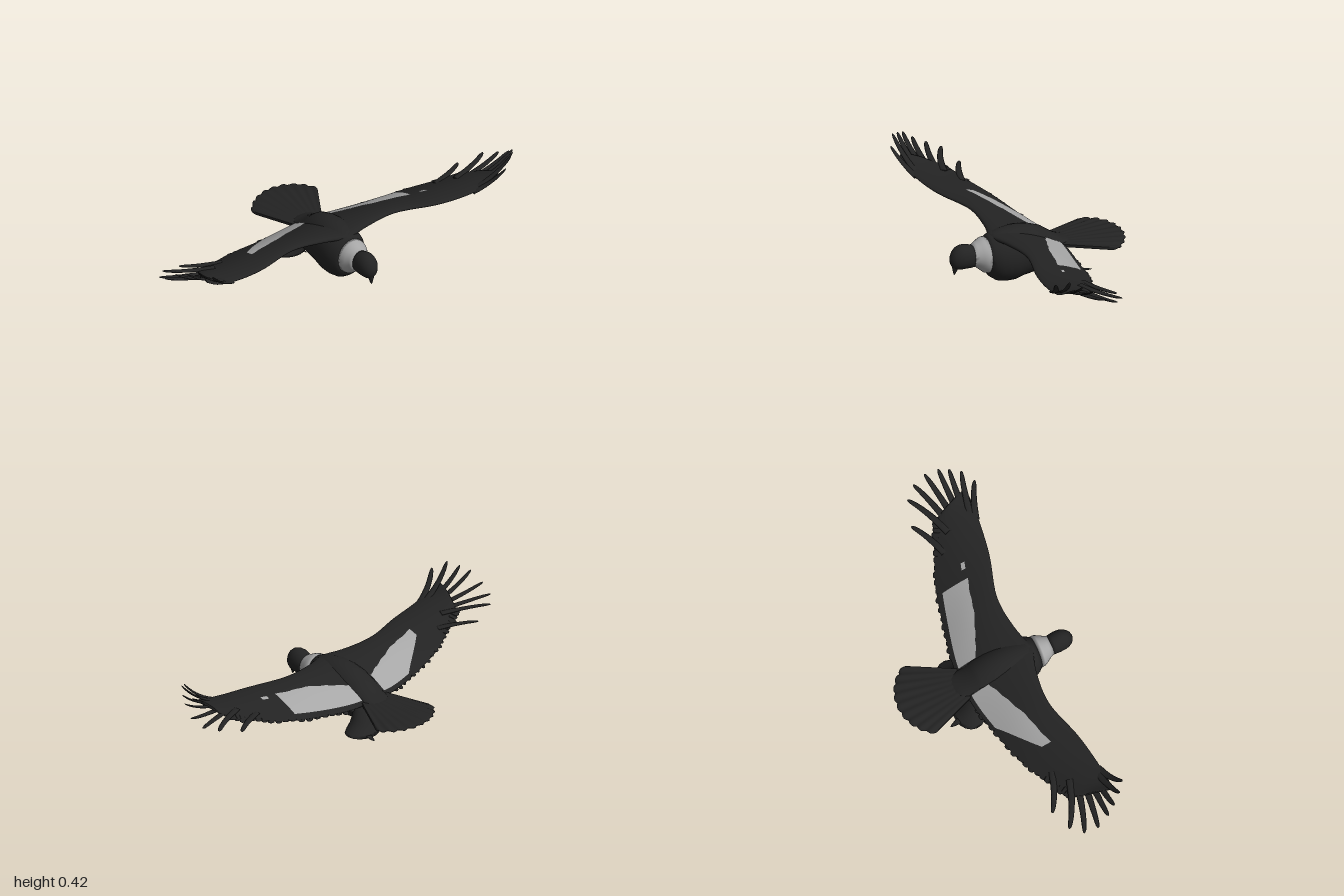
import * as THREE from 'three';

const V = (x, y, z) => new THREE.Vector3(x, y, z);
const lerp = THREE.MathUtils.lerp;

// Closed skin over a list of equal-length rings, with fan caps at both ends
function loft(rings) {
  const n = rings[0].length, pos = [], idx = [];
  rings.forEach(r => r.forEach(p => pos.push(p.x, p.y, p.z)));
  for (let i = 0; i < rings.length - 1; i++)
    for (let j = 0; j < n; j++) {
      const a = i * n + j, b = i * n + (j + 1) % n;
      idx.push(a, b, a + n, b, b + n, a + n);
    }
  const last = (rings.length - 1) * n;
  for (let j = 1; j < n - 1; j++) idx.push(0, j + 1, j, last, last + j, last + j + 1);
  return finish(pos, idx);
}

// Open sheet from a function of two 0..1 parameters
function sheet(f, nu, nv) {
  const pos = [], idx = [];
  for (let i = 0; i <= nu; i++)
    for (let j = 0; j <= nv; j++) pos.push(...f(i / nu, j / nv).toArray());
  for (let i = 0; i < nu; i++)
    for (let j = 0; j < nv; j++) {
      const a = i * (nv + 1) + j, b = a + nv + 1;
      idx.push(a, b, a + 1, b, b + 1, a + 1);
    }
  return finish(pos, idx);
}

function finish(pos, idx) {
  const g = new THREE.BufferGeometry();
  g.setAttribute('position', new THREE.Float32BufferAttribute(pos, 3));
  g.setIndex(idx);
  g.computeVertexNormals();
  return g;
}

// Ellipse rings along z: [z, bottom, top, half width]
function zLoft(rows, n = 28) {
  return loft(rows.map(([z, lo, hi, rx]) => Array.from({ length: n }, (_, k) => {
    const a = k / n * Math.PI * 2;
    return V(Math.cos(a) * rx, (lo + hi) / 2 + Math.sin(a) * (hi - lo) / 2, z);
  })));
}

// Slim round-ended blade along a bent path
function feather(p0, p1, p2, w, t, taper = 0.5) {
  const c = new THREE.QuadraticBezierCurve3(p0, p1, p2), rings = [], N = 10;
  for (let i = 0; i <= N; i++) {
    const u = 1 - Math.pow(1 - i / N, 1.6), p = c.getPoint(u), d = c.getTangent(u);
    const side = V(0, 1, 0).cross(d).normalize(), up = d.clone().cross(side);
    const k = lerp(1, taper, u) * Math.sqrt(Math.max(0.02, 1 - Math.pow(u, 14)));
    rings.push(Array.from({ length: 8 }, (_, j) => {
      const a = j / 8 * Math.PI * 2;
      return p.clone().addScaledVector(side, Math.cos(a) * w * k).addScaledVector(up, Math.sin(a) * t * k);
    }));
  }
  return loft(rings);
}

// Wing edges at matching stations; the third curve carries thickness in y
const curve = pts => new THREE.CatmullRomCurve3(pts.map(p => V(...p)), false, 'catmullrom', 0.5);
const lead = curve([[0, .26, .25], [.13, .264, .212], [.3, .272, .2], [.5, .272, .255], [.65, .28, .28], [.78, .302, .29], [.85, .335, .285]]);
const trail = curve([[0, .17, -.13], [.13, .16, -.12], [.3, .17, -.085], [.5, .2, -.035], [.65, .235, .03], [.76, .265, .075], [.8, .285, .13]]);
const thick = curve([[0, .05, 0], [.13, .048, 0], [.3, .038, 0], [.5, .03, 0], [.65, .02, 0], [.78, .009, 0], [.85, .004, 0]]);

function wingPoint(m, u, s, side, lift = 0) {
  const p = lead.getPoint(u).lerp(trail.getPoint(u), s);
  const foil = 1.32 * Math.sqrt(s) * (1 - s) + 0.04;
  p.y += Math.sin(Math.PI * s) * 0.015 + side * (thick.getPoint(u).y * foil * (side > 0 ? 1.1 : 0.8) + lift);
  p.x *= m;
  return p;
}

export function createModel() {
  const dark = new THREE.MeshStandardMaterial({ color: 0x232323, side: THREE.DoubleSide });
  dark.name = 'dark plumage';
  const pale = new THREE.MeshStandardMaterial({ color: 0xa6a6a6, side: THREE.DoubleSide });
  pale.name = 'pale plumage';
  const bird = new THREE.Group();
  bird.name = 'bird';
  const add = (name, geo, mat, parent = bird) => {
    const mesh = new THREE.Mesh(geo, mat);
    mesh.name = name;
    parent.add(mesh);
  };
  const group = name => {
    const g = new THREE.Group();
    g.name = name;
    bird.add(g);
    return g;
  };

  // Body, neck ruff and head
  add('body', zLoft([[.272, .082, .257, .072], [.25, .05, .268, .09], [.22, .027, .28, .105], [.18, .016, .288, .113],
    [.13, .014, .29, .115], [.08, .026, .288, .112], [.02, .032, .275, .107], [-.04, .036, .25, .1],
    [-.065, .06, .23, .092], [-.1, .11, .205, .08], [-.14, .142, .18, .07], [-.17, .153, .17, .06]]), dark);
  add('ruff', zLoft([[.268, .076, .264, .079], [.285, .082, .262, .078], [.305, .1, .253, .068], [.325, .118, .243, .055], [.345, .126, .234, .047]]), pale);
  add('head', zLoft([[.335, .123, .234, .046], [.355, .122, .242, .049], [.38, .124, .25, .051], [.405, .125, .25, .049],
    [.425, .128, .243, .044], [.442, .137, .228, .034], [.453, .15, .21, .022], [.459, .17, .19, .006]]), dark);
  add('beak', feather(V(0, .175, .424), V(0, .14, .434), V(0, .1, .438), .027, .031, .12), dark);

  // Fanned tail: one thin plate with a scalloped rear edge
  const tailRings = [];
  for (let i = 0; i <= 72; i++) {
    const a = i / 36 - 1, ang = a * .7;
    const r = .343 - .045 * a * a - .01 * (1 - Math.abs(Math.sin((a + 1) * Math.PI * 4.5)));
    const root = V(.075 * a, .165, -.1);
    const tip = V(.02 + Math.sin(ang) * r, .156 - .008 * a * a, -.115 - Math.cos(ang) * r);
    const row = k => [0, .25, .5, .75, .95, 1].map(t => {
      const p = root.clone().lerp(tip, t);
      p.y += k * (t === 1 ? .002 : .007) + .003 * t * Math.sin(a * 28);
      return p;
    });
    tailRings.push([...row(1), ...row(-1).reverse()]);
  }
  add('tail', loft(tailRings), dark);

  for (const m of [1, -1]) {
    const side = m > 0 ? 'left' : 'right';
    const wing = group(side + 'Wing');

    // Main wing surface: one closed aerofoil ring per station
    const rings = [];
    for (let i = 0; i <= 36; i++) {
      const ring = [];
      for (let j = 0; j <= 14; j++) ring.push(wingPoint(m, i / 36, (j / 14) ** 2, 1));
      for (let j = 14; j >= 0; j--) ring.push(wingPoint(m, i / 36, (j / 14) ** 2, -1));
      rings.push(ring);
    }
    add('wingSurface', loft(rings), dark, wing);

    // Pale panel on the upper side
    add('upperPanel', sheet((a, b) => {
      const u = lerp(.1, m > 0 ? .455 : .485, a);
      const s0 = lerp(.69, .44, Math.min(1, a * 1.6)) + .006 * Math.sin(a * 31);
      const s1 = m > 0 ? lerp(.95, .9, a) : lerp(.95, .6, Math.max(0, a - .55) / .45);
      return wingPoint(m, u, lerp(s0, s1, b), 1, .004);
    }, 40, 12), pale, wing);
    if (m > 0) add('paleSpot', sheet((a, b) => wingPoint(m, lerp(.497, .53, a), lerp(.45, .52, b), 1, .004), 4, 4), pale, wing);

    // Pale streaks between the dark feathers underneath
    for (let i = 0; i < 22; i++) {
      const u = .15 + i * .0195, s0 = .42 + .05 * Math.sin(i * 2.3), s1 = .86 + .05 * Math.sin(i * 1.7);
      add('underStreak', sheet((a, b) => wingPoint(m, u + .0145 * a + .012 * b, lerp(s0, s1, b), -1, .004), 2, 6), pale, wing);
    }

    // Trailing feathers softening the rear edge
    for (let i = 0; i < 20; i++) {
      const u = .17 + i * .036;
      const p0 = wingPoint(m, u, .84, -1), p1 = wingPoint(m, u + .015, .94, -1);
      const p2 = wingPoint(m, u + .025, 1.0, -1);
      p2.z -= .006 + .004 * Math.sin(i * 2.1);
      p2.y -= .006 + .005 * Math.sin(i * 1.3);
      add('trailingFeather', feather(p0, p1, p2, .02, .003, .8), dark, wing);
    }

    // Upswept finger feathers: tip x, y, z and root z
    const tips = [[.85, .395, .335, .272], [.91, .425, .292, .255], [.95, .405, .245, .235], [.98, .385, .2, .21],
      [1, .335, .137, .185], [.985, .3, .07, .155], [.93, .285, .015, .125], [.81, .25, -.02, .07]];
    tips.forEach(([x, y, z, rz], i) => {
      const rx = i < 7 ? .7 : .62, ry = i < 7 ? .28 : .25;
      const bend = V(m * lerp(rx, x, .65), lerp(ry, y, .3), lerp(rz, z, .45));
      add('fingerFeather', feather(V(m * rx, ry, rz), bend, V(m * x, y, z), .019, .007, .55), dark, wing);
    });

    // Flared thigh plumage
    const leg = group(side + 'Leg');
    const rows = [[.17, .045, -.085, .04, .032], [.13, .058, -.095, .05, .043], [.09, .068, -.105, .056, .052],
      [.06, .082, -.115, .068, .06], [.04, .096, -.125, .084, .07], [.03, .1, -.132, .09, .078]];
    add('thighPlumage', loft(rows.map(([y, cx, cz, rx, rz]) => Array.from({ length: 18 }, (_, k) => {
      const a = k / 18 * Math.PI * 2;
      return V(m * (cx + Math.cos(a) * rx), y, cz + Math.sin(a) * rz);
    }))), dark, leg);
    add('plumagePoint', feather(V(m * .1, .045, -.13), V(m * .12, .035, -.19), V(m * .13, .03, -.245), .03, .004, .2), dark, leg);

    // Foot with toes
    for (const t of [-1, 0, 1])
      add('toe', feather(V(m * .06, .03, -.15), V(m * (.06 + t * .02), .016, -.12), V(m * (.06 + t * .035), .004, -.085), .007, .004, .5), dark, leg);
    add('backToe', feather(V(m * .06, .028, -.12), V(m * .06, .018, -.145), V(m * .06, .012, -.165), .007, .004, .5), dark, leg);
  }
  return bird;
}
